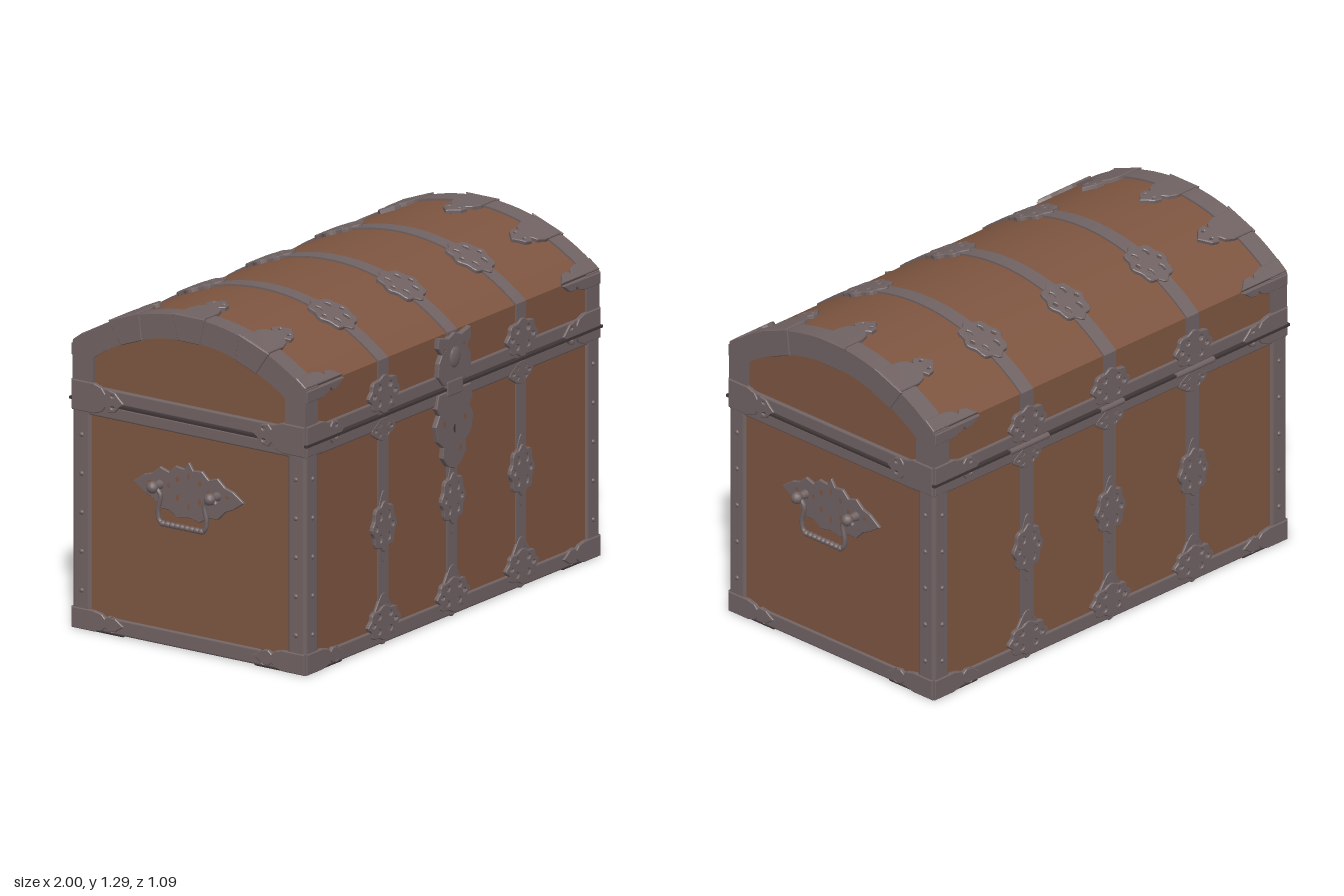
import * as THREE from 'three';
import { toCreasedNormals } from 'three/addons/utils/BufferGeometryUtils.js';
import { RoundedBoxGeometry } from 'three/addons/geometries/RoundedBoxGeometry.js';

const W = 0.92, D = 0.52;            // half width and half depth of the wooden box
const R = 0.825, YC = 0.455;         // radius and centre height of the lid arc
const SEAM = 0.885;

export function createModel() {
  const wood = new THREE.MeshStandardMaterial({ color: 0x7d5540 });
  wood.name = 'brown wood';
  const iron = new THREE.MeshStandardMaterial({ color: 0x706263 });
  iron.name = 'grey iron';
  const dark = new THREE.MeshStandardMaterial({ color: 0x3f3636 });
  dark.name = 'dark iron';

  const root = new THREE.Group();
  root.name = 'chest';
  const add = (name, geo, mat, parent = root, x = 0, y = 0, z = 0) => {
    const m = new THREE.Mesh(geo, mat);
    m.name = name;
    m.position.set(x, y, z);
    parent.add(m);
    return m;
  };
  const V = (pts) => pts.map(([x, y]) => new THREE.Vector2(x, y));
  const mirrorX = (pts) => [...pts, ...pts.slice().reverse().filter((p) => p[0] !== 0).map(([x, y]) => [-x, y])];

  // Thin plate cut from an outline, with elliptical holes [x, y, rx, ry]
  const plate = (pts, holes = [], depth = 0.012) => {
    const s = new THREE.Shape(V(pts));
    for (const [x, y, rx, ry] of holes) {
      const h = new THREE.Path();
      h.absellipse(x, y, rx, ry, 0, Math.PI * 2, true);
      s.holes.push(h);
    }
    return new THREE.ExtrudeGeometry(s, {
      depth, curveSegments: 5, bevelEnabled: true, bevelThickness: 0.003, bevelSize: 0.003, bevelOffset: -0.003, bevelSegments: 1,
    });
  };

  // Lobed medallion
  const medallion = (rx, ry, lobes = 8, depth = 0.012) => {
    const pts = [];
    for (let i = 0; i < 48; i++) {
      const t = (i / 48) * Math.PI * 2;
      const k = 0.93 + 0.07 * Math.cos(lobes * t);
      pts.push([rx * k * Math.cos(t), ry * k * Math.sin(t)]);
    }
    const holes = [];
    for (const sx of [-1, 1]) {
      for (const sy of [-1, 1]) holes.push([sx * rx * 0.34, sy * ry * 0.42, rx * 0.11, ry * 0.15]);
      holes.push([sx * rx * 0.65, 0, rx * 0.1, ry * 0.1]);
    }
    return plate(pts, holes, depth);
  };

  // Leaf-tipped claw that grips a corner; it points to -x from x = 0
  const clawTop = [[0, 1], [-0.1, 1], [-0.135, 0.8], [-0.15, 0.45], [-0.165, 0.75], [-0.195, 0.65], [-0.215, 0.3], [-0.235, 0]];
  const claw = (h, half = 0) => {
    const up = clawTop.map(([x, y]) => [x, y * h]);
    const down = up.map(([x, y]) => [x, -y]);
    if (half) return plate([...(half > 0 ? up : down), [0, 0]]);
    return plate([...up, ...down.reverse().slice(1)], [[-0.185, 0.022, 0.008, 0.005], [-0.185, -0.022, 0.008, 0.005]]);
  };

  // Lid section, offset outward by d
  const lidProfile = (d) => {
    const r = R + d, half = Math.asin((D + d) / r), pts = [[D + d, SEAM + 0.005]];
    for (let i = 0; i <= 28; i++) {
      const a = half - (2 * half * i) / 28;
      pts.push([r * Math.sin(a), YC + r * Math.cos(a)]);
    }
    pts.push([-D - d, SEAM + 0.005]);
    return pts;
  };
  const alongX = (pts, width) => {
    const g = new THREE.ExtrudeGeometry(new THREE.Shape(V(pts)), { depth: width, bevelEnabled: false });
    g.translate(0, 0, -width / 2).rotateY(Math.PI / 2);
    return toCreasedNormals(g, 0.5);
  };
  const shell = (d0, d1, width) => alongX([...lidProfile(d1), ...lidProfile(d0).reverse()], width);

  // Bend a flat plate onto the lid arc around angle a0
  const onLid = (geo, x, a0) => {
    const p = geo.attributes.position;
    for (let i = 0; i < p.count; i++) {
      const a = a0 - p.getY(i) / R, r = R + p.getZ(i);
      p.setXYZ(i, p.getX(i) + x, YC + r * Math.cos(a), r * Math.sin(a));
    }
    geo.computeVertexNormals();
    return geo;
  };

  // Wooden body and lid
  add('body', new THREE.BoxGeometry(2 * W, SEAM - 0.01, 2 * D), wood, root, 0, SEAM / 2 + 0.005, 0);
  add('underside', new THREE.BoxGeometry(1.82, 0.006, 1.02), wood, root, 0, 0.005, 0);
  add('lid', alongX(lidProfile(0), 2 * W - 0.01), wood);

  // Iron rails around the body and lid, and the seam between them
  const rail = (name, y0, y1) =>
    add(name, new RoundedBoxGeometry(1.856, y1 - y0, 1.056, 2, 0.008), iron, root, 0, (y0 + y1) / 2, 0);
  rail('bottomRail', 0.004, 0.066);
  rail('bodyTopRail', 0.83, 0.88);
  rail('lidBottomRail', 0.89, 0.945);
  add('seam', new THREE.BoxGeometry(1.868, 0.01, 1.078), dark, root, 0, SEAM, 0);

  // Corner posts and underside corner plates
  for (const sx of [-1, 1]) for (const sz of [-1, 1]) {
    add('cornerPost', new RoundedBoxGeometry(0.085, 0.876, 0.085, 3, 0.016), iron, root, sx * 0.887, 0.441, sz * 0.487);
    const c = plate([[0, 0], [-0.23, 0], [-0.22, 0.07], [-0.16, 0.13], [-0.13, 0.16], [-0.07, 0.22], [0, 0.23]]
      .map(([x, y]) => [sx * x, -sz * y]), [], 0.004);
    c.rotateX(Math.PI / 2);
    add('undersideCorner', c, dark, root, sx * 0.927, 0.007, sz * 0.527);
  }

  // Lid end rims with wedge clasps
  for (const sx of [-1, 1]) {
    add('lidRim', shell(-0.085, 0.008, 0.08), iron, root, sx * 0.888, 0, 0);
    for (const a of [-0.36, 0, 0.36]) {
      const g = plate([[-0.075, 0.012], [0.075, 0.012], [0.05, -0.09], [-0.05, -0.09]], [], 0.004);
      g.translate(0, R, 0).rotateZ(-a).translate(0, YC, 0).rotateY(sx * Math.PI / 2);
      add('rimClasp', g, iron, root, sx * 0.925, 0, 0);
    }
  }

  // Straps, medallions and claws over the lid
  for (const x of [-0.435, 0, 0.435]) {
    add('lidStrap', shell(-0.01, 0.007, 0.062), iron, root, x, 0, 0);
    for (const s of [-1, 1]) add('lidMedallion', onLid(medallion(0.085, 0.105), x, s * 0.365), iron);
  }
  const edge = Math.asin(D / R);
  for (const sx of [-1, 1]) {
    const side = (g) => (sx < 0 ? g.rotateZ(Math.PI) : g);
    for (const a of [-0.365, 0, 0.365]) add('lidClaw', onLid(side(claw(0.062)), sx * 0.927, a), iron);
    for (const s of [-1, 1])
      add('lidEdgeClaw', onLid(side(claw(0.055, sx * s)), sx * 0.927, s * edge), iron);
  }

  // Fittings on each of the four sides, laid out as if facing front
  const sides = [['front', 0, 0.927, D], ['left', 1, 0.527, W], ['back', 2, 0.927, D], ['right', 3, 0.527, W]];
  for (const [name, turn, half, dist] of sides) {
    const f = new THREE.Group();
    f.name = name + 'Fittings';
    f.rotation.y = turn * Math.PI / 2;
    root.add(f);
    const long = turn % 2 === 0;

    for (const s of [-1, 1]) {
      const side = (g) => (s < 0 ? g.rotateZ(Math.PI) : g);
      add('seamClaw', side(claw(0.058)), iron, f, s * half, 0.9, dist);
      add('footClaw', side(claw(0.04)), iron, f, s * half, 0.042, dist);
      if (long) add('edgeClaw', side(claw(0.045, -s)), iron, f, s * half, 1.095, dist);
      for (let i = 0; i < 5; i++)
        add('rivet', new THREE.SphereGeometry(0.01, 8, 6), iron, f, s * (half - 0.042), 0.15 + i * 0.15, dist + 0.007);
    }

    if (long) {
      for (const x of [-0.435, 0, 0.435]) {
        add('strap', new THREE.BoxGeometry(0.062, 0.8, 0.02), iron, f, x, 0.44, dist - 0.003);
        add('middleMedallion', medallion(0.078, 0.1), iron, f, x, 0.455, dist);
        add('middleCollar', medallion(0.05, 0.14, 4, 0.006), iron, f, x, 0.455, dist);
        add('footMedallion', medallion(0.105, 0.068), iron, f, x, 0.085, dist);
        add('footCollar', medallion(0.065, 0.1, 4, 0.006), iron, f, x, 0.1, dist);
        add('topCollar', medallion(0.075, 0.045, 4, 0.006), iron, f, x, 0.83, dist);
        add('lidFootMedallion', medallion(0.1, 0.075), iron, f, x, 0.966, dist);
        if (name === 'back') {
          const len = x === 0 ? 0.12 : 0.2;
          add('hinge', new THREE.CylinderGeometry(0.012, 0.012, len, 10).rotateZ(Math.PI / 2), iron, f, x, SEAM, dist + 0.014);
        }
      }
    } else {
      // Carrying handle with its pierced back plate
      const outline = mirrorX([[0, 0.115], [0.02, 0.085], [0.06, 0.09], [0.09, 0.062], [0.13, 0.075], [0.165, 0.045],
        [0.2, 0.035], [0.25, 0], [0.2, -0.035], [0.165, -0.05], [0.13, -0.085], [0.09, -0.085], [0.05, -0.11], [0, -0.1]]);
      const holes = [[0, 0.06, 0.008, 0.018], [0, -0.055, 0.008, 0.018]];
      for (const s of [-1, 1]) holes.push([s * 0.05, 0.04, 0.012, 0.014], [s * 0.05, -0.03, 0.01, 0.016],
        [s * 0.175, 0.01, 0.014, 0.009], [s * 0.09, 0.01, 0.01, 0.014]);
      add('handlePlate', plate(outline, holes, 0.008), iron, f, 0, 0.615, dist);
      for (const s of [-1, 1]) {
        add('handleStem', new THREE.CylinderGeometry(0.012, 0.02, 0.05, 10).rotateX(Math.PI / 2), iron, f, s * 0.13, 0.622, dist + 0.025);
        add('handleKnob', new THREE.SphereGeometry(0.023, 12, 8), iron, f, s * 0.13, 0.622, dist + 0.057);
      }
      const bail = [[-0.155, 0.605], [-0.13, 0.62], [-0.1, 0.6], [-0.11, 0.53], [-0.1, 0.495], [0, 0.487],
        [0.1, 0.495], [0.11, 0.53], [0.1, 0.6], [0.13, 0.62], [0.155, 0.605]];
      const path = new THREE.CatmullRomCurve3(bail.map(([x, y]) => new THREE.Vector3(x, y, 0)));
      add('handleBail', new THREE.TubeGeometry(path, 60, 0.009, 8), iron, f, 0, 0, dist + 0.05);
      for (let i = 0; i < 9; i++) {
        const bead = add('handleTwist', new THREE.SphereGeometry(0.014, 8, 6), iron, f, (i - 4) * 0.022, 0.489, dist + 0.05);
        bead.scale.y = 0.85;
      }
    }

    if (name === 'front') {
      // Lock: hasp on the lid, escutcheon with keyhole on the body
      const hasp = mirrorX([[0, 0.1], [0.04, 0.085], [0.1, 0.1], [0.105, 0.06], [0.08, 0.03], [0.1, 0], [0.105, -0.05], [0.07, -0.09], [0, -0.1]]);
      add('hasp', plate(hasp, [[0.06, 0.045, 0.012, 0.01], [-0.06, 0.045, 0.012, 0.01]], 0.016), iron, f, 0, 0.995, dist);
      add('haspBoss', new THREE.SphereGeometry(0.035, 14, 8).scale(1, 1.2, 0.35), iron, f, 0, 1.0, dist + 0.016);
      const lock = mirrorX([[0, 0.15], [0.1, 0.15], [0.115, 0.1], [0.095, 0.07], [0.12, 0.03], [0.105, -0.03],
        [0.07, -0.06], [0.075, -0.1], [0.04, -0.14], [0, -0.155]]);
      add('lockPlate', plate(lock, [[0, 0, 0.012, 0.02], [0.065, 0.03, 0.012, 0.016], [-0.065, 0.03, 0.012, 0.016],
        [0.035, -0.08, 0.01, 0.014], [-0.035, -0.08, 0.01, 0.014]], 0.016), iron, f, 0, 0.725, dist);
      add('keyhole', new THREE.BoxGeometry(0.014, 0.036, 0.004), dark, f, 0, 0.725, dist + 0.014);
      add('latch', new RoundedBoxGeometry(0.1, 0.06, 0.02, 2, 0.006), iron, f, 0, SEAM, dist + 0.012);
    }
  }
  return root;
}
